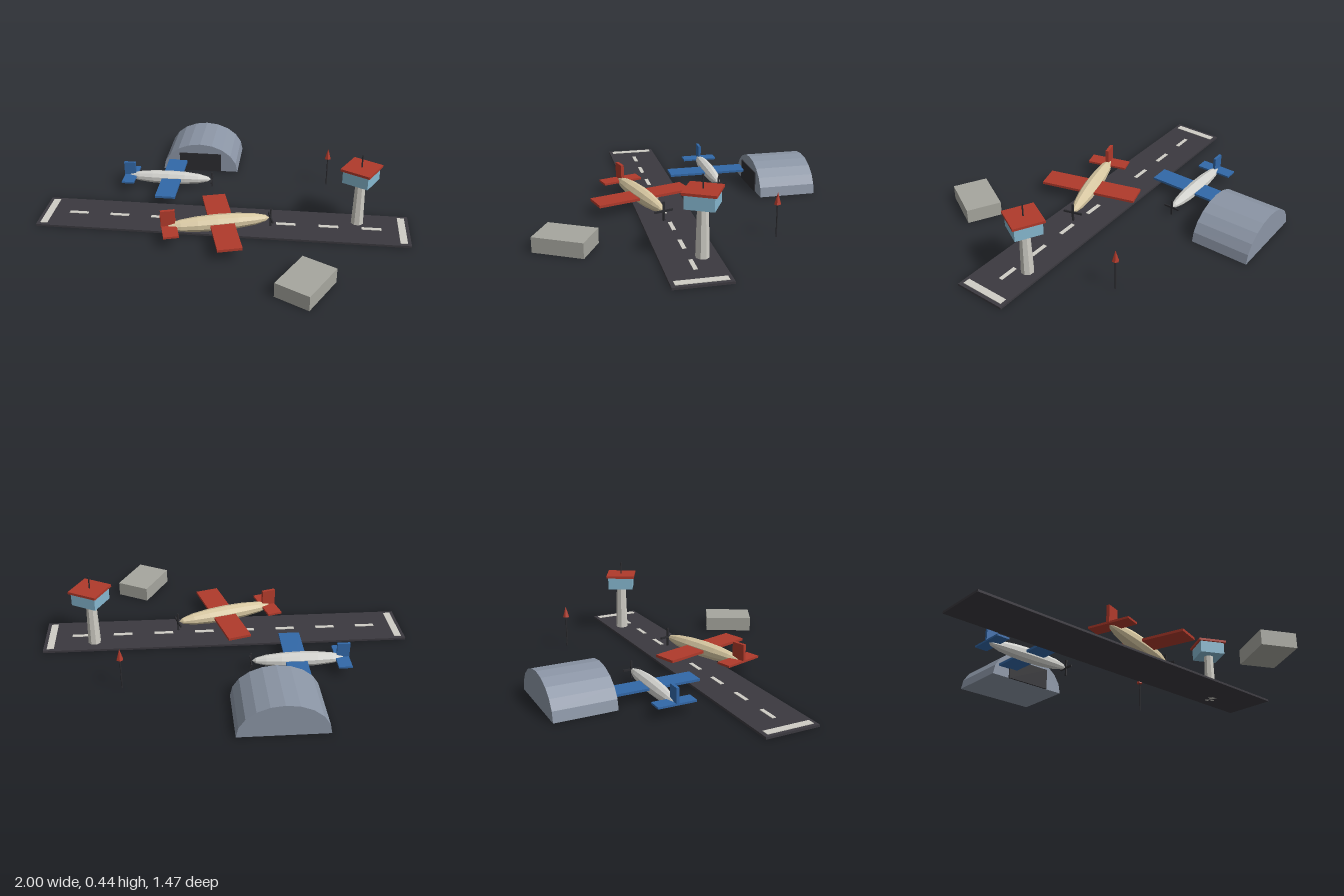
import * as THREE from 'three';

const paint = (name, color) => Object.assign(new THREE.MeshStandardMaterial({ color }), { name });
const M = {
  asphalt: paint('asphalt', 0x3b393f),
  marking: paint('pale grey', 0xcfcdc5),
  hangar: paint('steel grey', 0x8b95a5),
  dark: paint('dark grey', 0x2c2c30),
  red: paint('red', 0xb03a2b),
  blue: paint('blue', 0x3268a8),
  tan: paint('tan', 0xd8c8a2),
  silver: paint('silver', 0xd2d2ce),
  glass: paint('glass blue', 0x86b8d0),
  concrete: paint('concrete', 0xa6a69e),
};
const DEG = Math.PI / 180;

// Adds a faceted mesh to a parent
function add(parent, name, geometry, material, x = 0, y = 0, z = 0) {
  const flat = geometry.index ? geometry.toNonIndexed() : geometry;
  flat.computeVertexNormals();
  const mesh = new THREE.Mesh(flat, material);
  mesh.name = name;
  mesh.position.set(x, y, z);
  parent.add(mesh);
  return mesh;
}
const box = (w, h, d) => new THREE.BoxGeometry(w, h, d);

function addGroup(parent, name, x, y, z, heading = 0) {
  const g = new THREE.Group();
  g.name = name;
  g.position.set(x, y, z);
  g.rotation.y = heading * DEG;
  parent.add(g);
  return g;
}

// Airplane pointing along its own +x
function addPlane(parent, name, x, z, heading, scale, bodyMat, wingMat) {
  const g = addGroup(parent, name, x, 0.068 * scale, z, heading);
  g.scale.setScalar(scale);
  const body = new THREE.SphereGeometry(1, 10, 8).rotateZ(-Math.PI / 2).scale(0.295, 0.047, 0.047);
  add(g, 'fuselage', body, bodyMat);
  add(g, 'wing', box(0.135, 0.015, 0.575), wingMat, 0.022, 0.003, 0);
  add(g, 'tailplane', box(0.085, 0.012, 0.24), wingMat, -0.27, 0.005, 0);
  add(g, 'fin', box(0.08, 0.1, 0.018), wingMat, -0.275, 0.054, 0);
  add(g, 'propellerBladeUpright', box(0.008, 0.11, 0.012), M.dark, 0.302, 0, 0);
  add(g, 'propellerBladeLevel', box(0.008, 0.012, 0.11), M.dark, 0.302, 0, 0);
}

export function createModel() {
  const model = new THREE.Group();
  model.name = 'airfield';

  // Runway with centre dashes and end bars
  const runway = addGroup(model, 'runway', 0, 0, 0.103, 28);
  add(runway, 'runwaySlab', box(2.1, 0.012, 0.3), M.asphalt, 0, 0.006, 0);
  for (let i = 0; i < 8; i++) {
    add(runway, 'centreDash', box(0.11, 0.004, 0.022), M.marking, (i - 3.5) * 0.24, 0.013, 0);
  }
  for (const side of [-1, 1]) {
    add(runway, 'endBar', box(0.04, 0.004, 0.26), M.marking, side * 1.01, 0.013, 0);
  }

  // Arched hangar with a dark door
  const hangar = addGroup(model, 'hangar', -0.56, 0, -0.485, 28);
  const arch = new THREE.Shape();
  const steps = 10;
  for (let i = 0; i <= steps; i++) {
    const a = (i / steps) * Math.PI;
    const px = 0.238 * Math.cos(a), py = 0.182 * Math.sin(a);
    if (i === 0) arch.moveTo(px, 0);
    else arch.lineTo(px, i === steps ? 0 : py);
  }
  const shell = new THREE.ExtrudeGeometry(arch, { depth: 0.336, bevelEnabled: false });
  add(hangar, 'hangarShell', shell, M.hangar, 0, 0, -0.168);
  add(hangar, 'hangarDoor', box(0.265, 0.12, 0.009), M.dark, 0, 0.06, 0.17);

  // Control tower
  const tower = addGroup(model, 'controlTower', 0.641, 0, -0.313);
  add(tower, 'towerShaft', new THREE.CylinderGeometry(0.029, 0.037, 0.28, 8), M.marking, 0, 0.14, 0);
  add(tower, 'towerCab', box(0.152, 0.073, 0.152), M.glass, 0, 0.3165, 0);
  add(tower, 'towerRoof', box(0.174, 0.014, 0.174), M.red, 0, 0.36, 0);
  add(tower, 'towerAntenna', new THREE.CylinderGeometry(0.004, 0.004, 0.073, 6), M.dark, 0, 0.4035, 0);

  // Low concrete building
  add(model, 'lowBuilding', box(0.2, 0.084, 0.28), M.concrete, 0.7, 0.042, 0.384);

  // Wind marker on a pole
  const marker = addGroup(model, 'windMarker', 0.279, 0, -0.622);
  add(marker, 'markerPole', new THREE.CylinderGeometry(0.004, 0.004, 0.2, 6), M.dark, 0, 0.1, 0);
  add(marker, 'markerCone', new THREE.ConeGeometry(0.019, 0.065, 6).rotateY(Math.PI / 6), M.red, 0, 0.215, 0);

  // Two airplanes
  addPlane(model, 'redWingedPlane', 0.037, 0.207, 44, 1, M.tan, M.red);
  addPlane(model, 'blueWingedPlane', -0.519, -0.064, 28, 0.88, M.silver, M.blue);

  return model;
}
